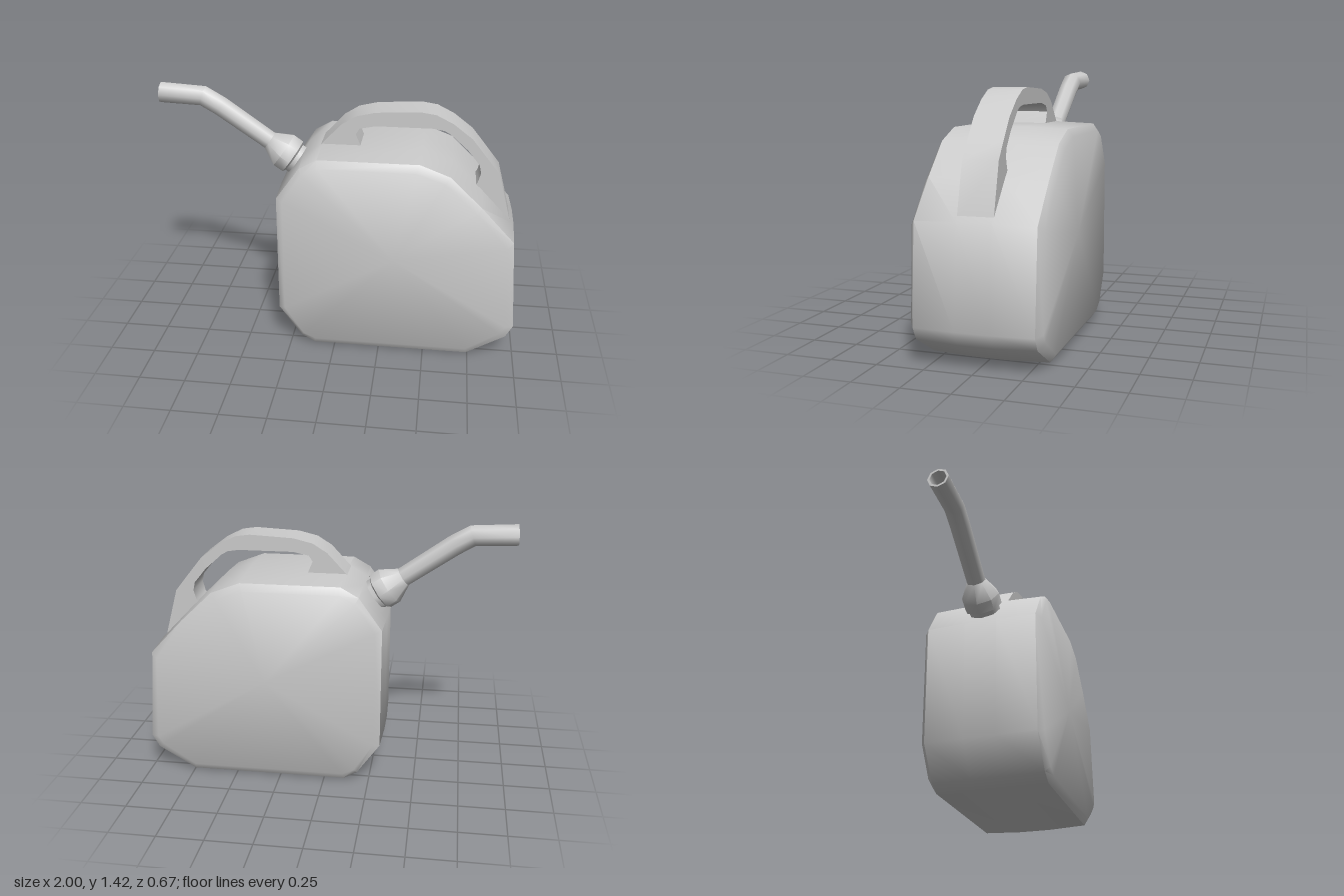
import * as THREE from 'three';
import { toCreasedNormals } from 'three/addons/utils/BufferGeometryUtils.js';

const CREASE = 0.85;

// Skin a list of equal-length rings of Vector3 and close both ends.
function loft(rings) {
  const n = rings[0].length;
  const position = [], index = [];
  rings.forEach((ring) => ring.forEach((p) => position.push(p.x, p.y, p.z)));
  for (let i = 0; i < rings.length - 1; i++) {
    for (let j = 0; j < n; j++) {
      const k = (j + 1) % n;
      const a = i * n + j, b = i * n + k, c = a + n, d = b + n;
      index.push(a, b, d, a, d, c);
    }
  }
  [0, rings.length - 1].forEach((r) => {
    const mid = new THREE.Vector3();
    rings[r].forEach((p) => mid.addScaledVector(p, 1 / n));
    const m = position.length / 3;
    position.push(mid.x, mid.y, mid.z);
    for (let j = 0; j < n; j++) {
      const a = r * n + j, b = r * n + (j + 1) % n;
      if (r === 0) index.push(m, b, a);
      else index.push(m, a, b);
    }
  });
  const geometry = new THREE.BufferGeometry();
  geometry.setAttribute('position', new THREE.Float32BufferAttribute(position, 3));
  geometry.setIndex(index);
  return toCreasedNormals(geometry, CREASE);
}

// Body: cut-corner outline, slightly crowned across its width, chamfered to flat sides.
function bodyGeometry() {
  const outer = [
    [-0.32, 0.9], [-0.19, 1.08], [-0.09, 1.138], [0.45, 1.138], [0.61, 1.075],
    [0.78, 0.91], [0.96, 0.72], [1, 0.2], [0.96, 0.125], [0.745, 0],
    [-0.115, 0], [-0.19, 0.045], [-0.32, 0.225],
  ];
  const inner = [
    [-0.275, 0.89], [-0.17, 1.05], [-0.09, 1.09], [0.43, 1.09], [0.575, 1.04],
    [0.75, 0.88], [0.92, 0.685], [0.945, 0.21], [0.915, 0.165], [0.735, 0.05],
    [-0.105, 0.05], [-0.17, 0.08], [-0.275, 0.24],
  ];
  // z of each section and how far it moves towards the inner outline
  const sections = [[0.335, 1], [0.308, 0.2], [0.09, 0], [-0.09, 0], [-0.308, 0.2], [-0.335, 1]];
  return loft(sections.map(([z, t]) => outer.map(([x, y], i) => new THREE.Vector3(
    THREE.MathUtils.lerp(x, inner[i][0], t),
    THREE.MathUtils.lerp(y, inner[i][1], t), z))));
}

// Handle: flat arched grip whose two feet sink into the body.
function handleGeometry() {
  const points = [
    [-0.12, 1.11], [0.01, 1.25], [0.09, 1.3], [0.195, 1.325], [0.435, 1.337], [0.515, 1.325],
    [0.605, 1.28], [0.71, 1.2], [0.79, 1.1], [0.865, 1.005], [0.94, 0.73],
    [0.88, 0.7], [0.7, 0.9], [0.75, 0.955], [0.765, 1.01], [0.755, 1.055], [0.69, 1.135],
    [0.595, 1.22], [0.56, 1.24], [0.5, 1.25], [0.195, 1.25], [0.11, 1.232], [0.09, 1.2],
    [0.115, 1.14], [0.13, 1.1],
  ];
  const shape = new THREE.Shape(points.map(([x, y]) => new THREE.Vector2(x, y)));
  const geometry = new THREE.ExtrudeGeometry(shape, { depth: 0.184, bevelEnabled: false });
  geometry.translate(0, 0, -0.092);
  return toCreasedNormals(geometry, CREASE);
}

// Eight-sided ring centred on (x, y), facing along an angle in the xy plane.
function ring(x, y, radius, angle, sides = 8) {
  return Array.from({ length: sides }, (_, i) => {
    const a = (i / sides) * Math.PI * 2;
    const u = Math.cos(a) * radius;
    return new THREE.Vector3(
      x - Math.sin(angle) * u, y + Math.cos(angle) * u, Math.sin(a) * radius);
  });
}

const NECK_ANGLE = Math.PI - 0.61;

// Ring on the neck axis, at a distance from the foot of the pipe towards the body.
function neckRing(distance, radius) {
  return ring(-0.4 - Math.cos(NECK_ANGLE) * distance,
    1.11 - Math.sin(NECK_ANGLE) * distance, radius, NECK_ANGLE);
}

// Collar: short neck, groove and flared cap.
function collarGeometry() {
  return loft([[0.26, 0.09], [0.165, 0.09], [0.155, 0.108], [0.095, 0.108], [0.005, 0.056],
    [-0.01, 0.04]].map(([s, r]) => neckRing(s, r)));
}

// Spout: bent pipe with an open, hollow tip.
function spoutGeometry() {
  const tip = Math.PI - 0.05;
  return loft([
    neckRing(0.04, 0.053),
    neckRing(0, 0.054),
    ring(-0.665, 1.295, 0.057, Math.PI - 0.57),
    ring(-0.76, 1.35, 0.058, Math.PI - 0.3),
    ring(-0.997, 1.362, 0.058, tip),
    ring(-0.997, 1.362, 0.046, tip),
    ring(-0.78, 1.35, 0.046, tip),
  ]);
}

export function createModel() {
  const group = new THREE.Group();
  group.name = 'jerryCan';
  const material = new THREE.MeshStandardMaterial({ color: 0xcccccc });
  const parts = {
    body: bodyGeometry(),
    handle: handleGeometry(),
    collar: collarGeometry(),
    spout: spoutGeometry(),
  };
  for (const [name, geometry] of Object.entries(parts)) {
    const mesh = new THREE.Mesh(geometry, material);
    mesh.name = name;
    group.add(mesh);
  }
  return group;
}
